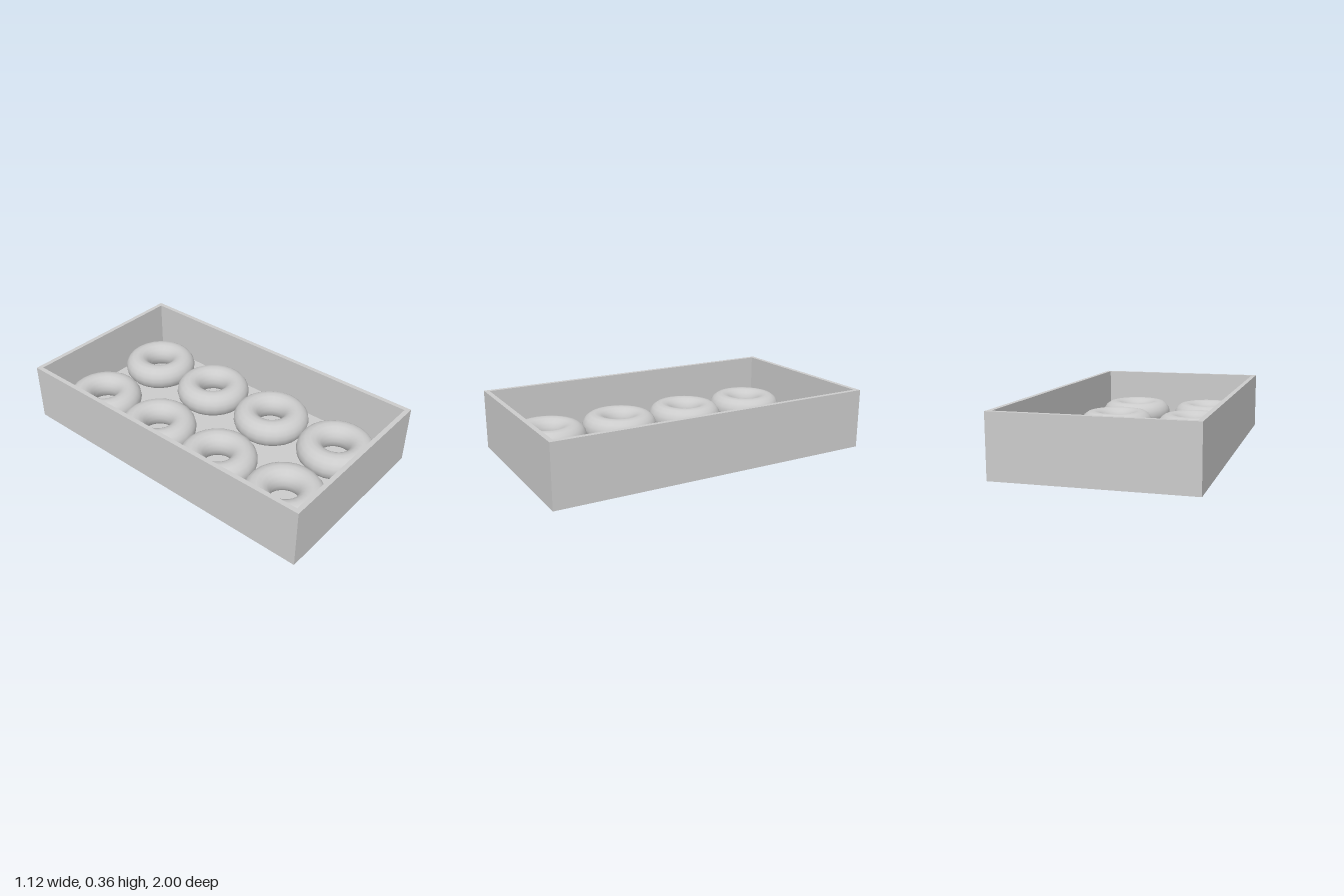
import * as THREE from 'three';

const WIDTH = 1.12, LENGTH = 2, HEIGHT = 0.363, WALL = 0.028, FLOOR = 0.03;
const RING = 0.155, TUBE = 0.08;

function rectangle(target, w, l) {
  target.moveTo(-w / 2, -l / 2);
  target.lineTo(w / 2, -l / 2);
  target.lineTo(w / 2, l / 2);
  target.lineTo(-w / 2, l / 2);
  target.closePath();
  return target;
}

export function createModel() {
  const model = new THREE.Group();
  model.name = 'donutBox';
  const material = new THREE.MeshStandardMaterial({ color: 0xcccccc });

  const add = (name, geometry, x, y, z) => {
    const mesh = new THREE.Mesh(geometry, material);
    mesh.name = name;
    mesh.position.set(x, y, z);
    model.add(mesh);
  };

  // Open tray: floor slab with a rectangular wall frame on top
  add('boxFloor', new THREE.BoxGeometry(WIDTH, FLOOR, LENGTH), 0, FLOOR / 2, 0);

  const frame = rectangle(new THREE.Shape(), WIDTH, LENGTH);
  frame.holes.push(rectangle(new THREE.Path(), WIDTH - 2 * WALL, LENGTH - 2 * WALL));
  const walls = new THREE.ExtrudeGeometry(frame, { depth: HEIGHT - FLOOR, bevelEnabled: false });
  walls.rotateX(-Math.PI / 2);
  add('boxWalls', walls, 0, FLOOR, 0);

  // Two columns of four donuts resting on the floor
  const donut = new THREE.TorusGeometry(RING, TUBE, 16, 24);
  donut.rotateX(-Math.PI / 2);
  for (let row = 0; row < 4; row++) {
    for (const side of [-1, 1]) {
      const z = -0.004 + (row - 1.5) * 0.478;
      add(`donut${side < 0 ? 'Right' : 'Left'}${row + 1}`, donut, -0.007 + side * 0.258, FLOOR + TUBE, z);
    }
  }
  return model;
}
